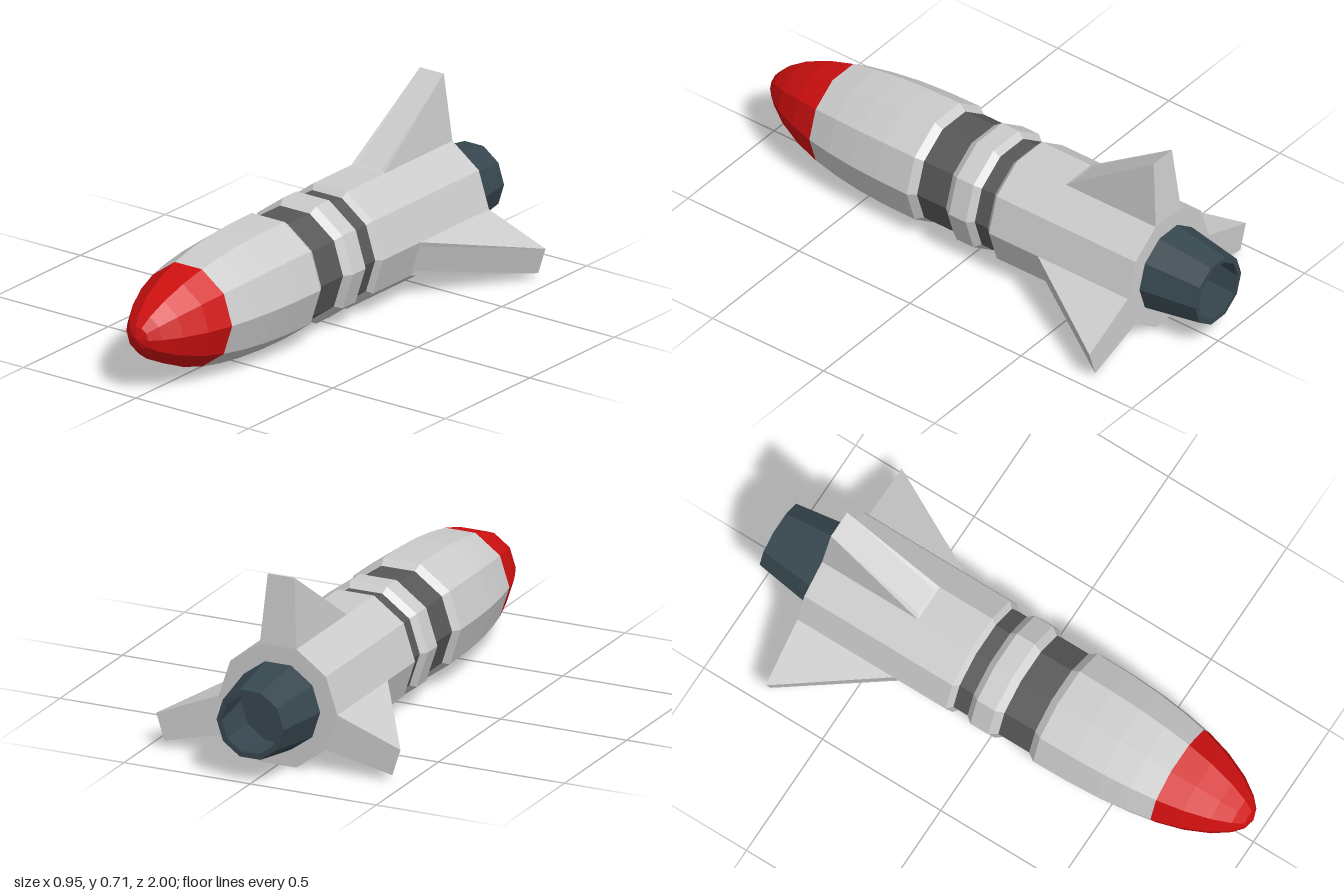
import * as THREE from 'three';

const SIDES = 10;
const R = 0.235;                                  // hull radius at the corners
const APOTHEM = R * Math.cos(Math.PI / SIDES);    // hull radius at the flats
const HALF_FLAT = R * Math.sin(Math.PI / SIDES);

const paint = (color) => new THREE.MeshStandardMaterial({ color, flatShading: true });

// Ten-sided turned part along z; profile is [radius, z] from back to front
function turned(name, profile, material) {
  const points = profile.map(([r, z]) => new THREE.Vector2(r, z));
  const geometry = new THREE.LatheGeometry(points, SIDES, Math.PI / 2);
  geometry.rotateX(Math.PI / 2);
  const mesh = new THREE.Mesh(geometry, material);
  mesh.name = name;
  return mesh;
}

// Wedge fin standing on one flat of the hull, pointing up; built from mirrored corner pairs
function finGeometry(tipZ) {
  const pairs = [
    [HALF_FLAT, APOTHEM, -0.37],          // front of the root
    [0.053, APOTHEM + 0.007, -0.385],     // foot of the leading face
    [0.053, 0.483, tipZ],                 // tip
    [HALF_FLAT, APOTHEM, -0.775],         // rear of the root
  ];
  const positions = pairs.flatMap(([x, y, z]) => [x, y, z, -x, y, z]);
  const index = [];
  for (let i = 0; i < 3; i++) {           // foot, leading face, rear face
    const a = 2 * i;
    index.push(a, a + 2, a + 1, a + 1, a + 2, a + 3);
  }
  index.push(0, 6, 4, 0, 4, 2, 1, 5, 7, 1, 3, 5);   // two sides
  const geometry = new THREE.BufferGeometry();
  geometry.setAttribute('position', new THREE.Float32BufferAttribute(positions, 3));
  geometry.setIndex(index);
  geometry.computeVertexNormals();
  return geometry;
}

export function createModel() {
  const grey = paint(0xcccccc);
  const dark = paint(0x585858);
  const red = paint(0xd01010);
  const slate = paint(0x37474f);
  const model = new THREE.Group();
  const rocket = new THREE.Group();
  rocket.name = 'rocket';
  rocket.position.y = APOTHEM;
  model.add(rocket);

  // Hull sections and recessed bands
  rocket.add(
    turned('rearHull', [[0, -0.775], [R, -0.775], [R, -0.15], [0.214, -0.13]], grey),
    turned('narrowBand', [[0.214, -0.13], [0.214, -0.07]], dark),
    turned('middleRing', [[0.214, -0.07], [R, -0.045], [R, 0.03], [0.214, 0.06]], grey),
    turned('wideBand', [[0.214, 0.06], [0.214, 0.19]], dark),
    turned('frontHull', [[0.214, 0.19], [R, 0.22], [0.233, 0.36], [0.226, 0.48],
      [0.213, 0.59], [0.195, 0.69]], grey),
    turned('noseCone', [[0.195, 0.69], [0.166, 0.79], [0.124, 0.885], [0.08, 0.95],
      [0.043, 0.985], [0, 1]], red),
  );

  // Hollow nozzle
  rocket.add(turned('nozzle', [[0, -0.79], [0.14, -0.79], [0.112, -1], [0.133, -1],
    [0.168, -0.77]], slate));

  // Three fins around the hull; tip sweep differs slightly on each side
  const fins = [['topFin', 0, -0.75], ['leftFin', -108, -0.79], ['rightFin', 108, -0.755]];
  for (const [name, degrees, tipZ] of fins) {
    const fin = new THREE.Mesh(finGeometry(tipZ), grey);
    fin.name = name;
    fin.rotation.z = THREE.MathUtils.degToRad(degrees);
    rocket.add(fin);
  }
  return model;
}
